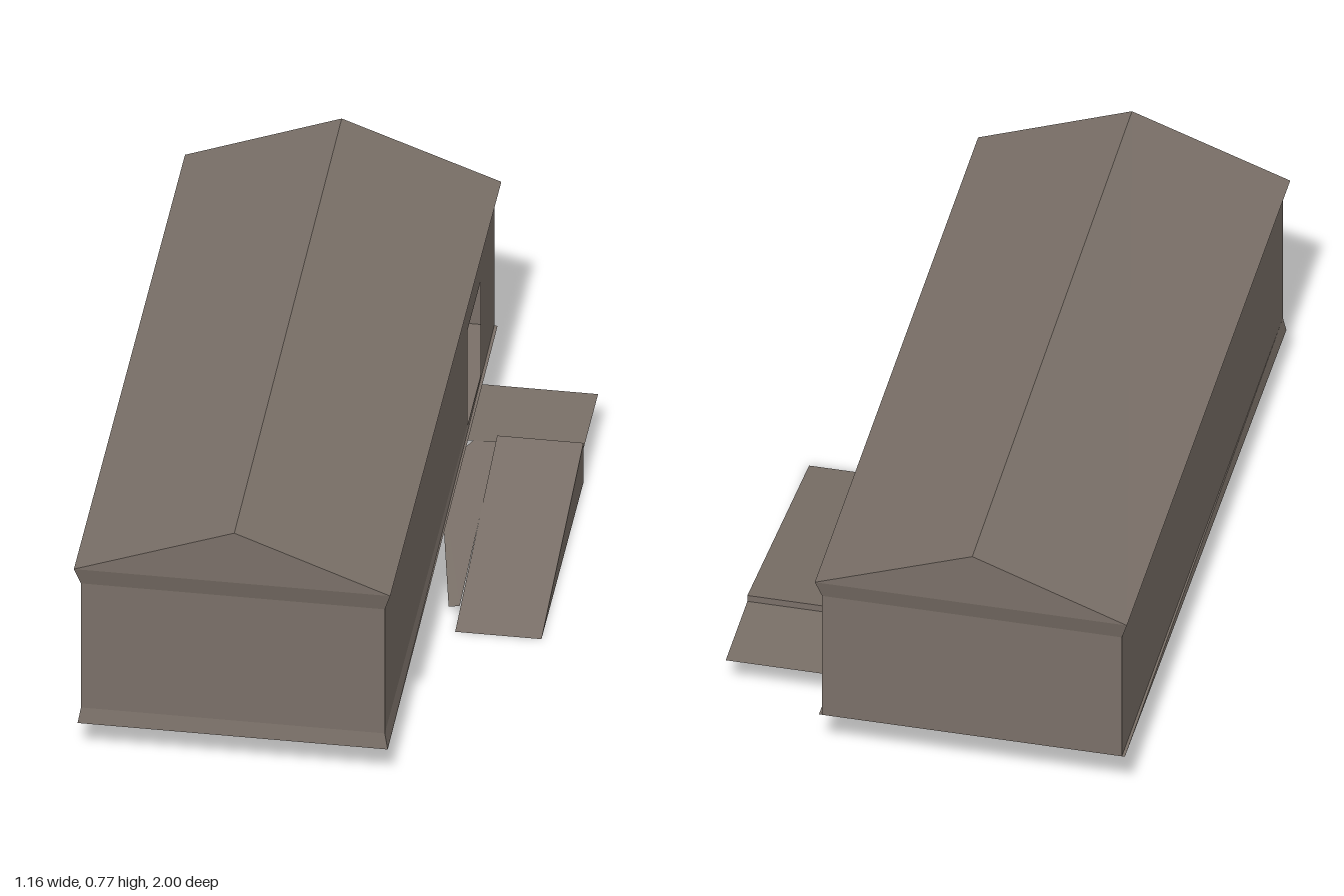
import * as THREE from 'three';

const stone = new THREE.MeshStandardMaterial({ color: 0x7a7068, side: THREE.DoubleSide });
stone.name = 'warm grey';

// Flat-shaded mesh from convex polygons, corners counter-clockwise from outside
function panels(name, polygons) {
  const points = [];
  for (const p of polygons)
    for (let i = 1; i < p.length - 1; i++) points.push(...p[0], ...p[i], ...p[i + 1]);
  const geometry = new THREE.BufferGeometry();
  geometry.setAttribute('position', new THREE.Float32BufferAttribute(points, 3));
  geometry.computeVertexNormals();
  const mesh = new THREE.Mesh(geometry, stone);
  mesh.name = name;
  return mesh;
}

// Rectangular ring: front left, front right, back right, back left
const ring = (x0, x1, back, front, yBack, yFront) => [
  [x0, yFront, front], [x1, yFront, front], [x1, yBack, back], [x0, yBack, back],
];

// Four side faces joining two rings
const band = (low, high) => low.map((p, i) => {
  const j = (i + 1) % 4;
  return [p, low[j], high[j], high[i]];
});

export function createModel() {
  const model = new THREE.Group();
  model.name = 'hall';

  const base = ring(-0.573, 0.272, -0.985, 0.993, 0.149, 0.104);
  const foot = ring(-0.565, 0.263, -0.985, 0.985, 0.15, 0.15);
  const head = ring(-0.565, 0.263, -0.985, 0.985, 0.555, 0.555);
  const eave = ring(-0.582, 0.28, -1, 1, 0.61, 0.61);

  // Walls: the +x side is split around the doorway
  const sides = band(foot, head);
  const sidePanel = (front, back, y0, y1) => [
    [0.263, y0, front], [0.263, y0, back], [0.263, y1, back], [0.263, y1, front],
  ];
  model.add(panels('walls', [sides[0], sides[2], sides[3]]));
  model.add(panels('doorWall', [
    sidePanel(0.985, -0.5, 0.15, 0.555),
    sidePanel(-0.5, -0.74, 0.46, 0.555),
    sidePanel(-0.74, -0.985, 0.15, 0.555),
  ]));

  // Flared skirt, sloping floor and flared cornice
  model.add(panels('skirt', band(base, foot)));
  model.add(panels('floor', [[...base].reverse()]));
  model.add(panels('cornice', band(head, eave)));

  // Gabled roof
  const ridgeFront = [-0.145, 0.772, 1], ridgeBack = [-0.155, 0.772, -1];
  model.add(panels('roof', [
    [eave[1], eave[2], ridgeBack, ridgeFront],
    [eave[3], eave[0], ridgeFront, ridgeBack],
  ]));
  model.add(panels('gables', [
    [eave[0], eave[1], ridgeFront],
    [eave[2], eave[3], ridgeBack],
  ]));

  // Landing outside the doorway
  model.add(panels('landing', [ring(0.21, 0.58, -0.76, -0.49, 0.11, 0.11)]));

  // Solid wedge ramp
  const profile = new THREE.Shape([
    new THREE.Vector2(-0.26, 0), new THREE.Vector2(0.495, 0), new THREE.Vector2(0.495, 0.13),
  ]);
  const rampGeometry = new THREE.ExtrudeGeometry(profile, { depth: 0.235, bevelEnabled: false });
  rampGeometry.rotateY(Math.PI / 2);
  const ramp = new THREE.Mesh(rampGeometry, stone);
  ramp.name = 'ramp';
  ramp.position.x = 0.345;
  model.add(ramp);

  // Thin sloping strip between ramp and wall
  model.add(panels('rampStrip', [[
    [0.345, 0.03, 0.18], [0.345, 0.115, -0.49], [0.28, 0.11, -0.49],
    [0.21, 0.1, -0.36], [0.315, 0.025, 0.18],
  ]]));

  return model;
}
